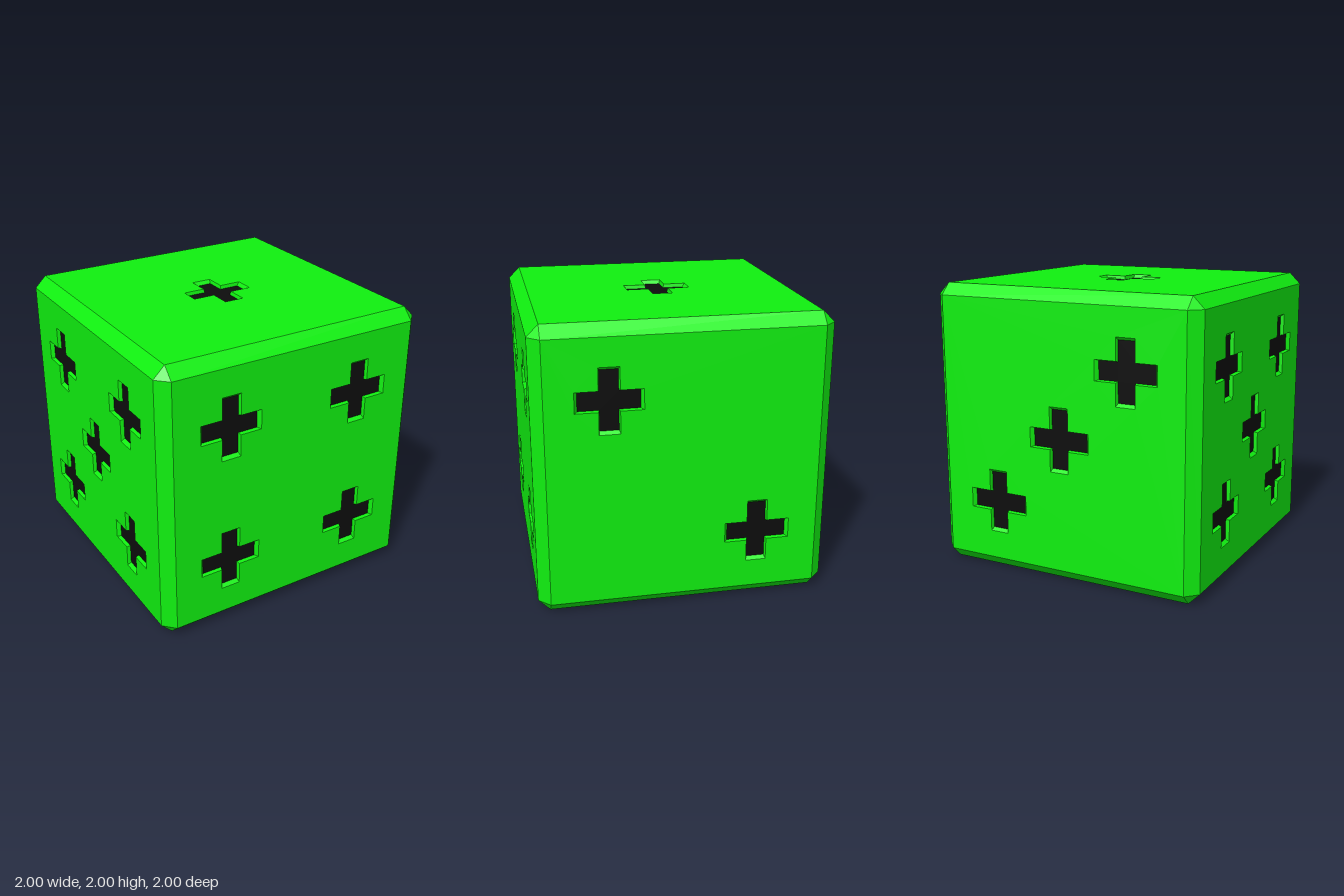
import * as THREE from 'three';

const FLAT = 0.92;   // half size of each flat face; the rest is chamfer
const DEPTH = 0.025; // depth of the pips
const TAPER = 0.91;  // pip floor size relative to its rim
const ARM = 0.225, HALF = 0.07;

const green = new THREE.MeshStandardMaterial({ color: 0x10f010, flatShading: true });
const black = new THREE.MeshStandardMaterial({ color: 0x0d0d0d, flatShading: true });

// Counter-clockwise plus outline around (cx, cy)
function plusOutline(cx, cy, scale = 1) {
  const a = ARM * scale, h = HALF * scale;
  return [[h, -a], [h, -h], [a, -h], [a, h], [h, h], [h, a],
    [-h, a], [-h, h], [-a, h], [-a, -h], [-h, -h], [-h, -a]]
    .map(([x, y]) => new THREE.Vector2(cx + x, cy + y));
}

// Flat polygons (3 or 4 corners each) as one geometry
function polygons(list) {
  const points = [];
  for (const p of list) {
    for (let i = 1; i < p.length - 1; i++) points.push(p[0], p[i], p[i + 1]);
  }
  const geometry = new THREE.BufferGeometry().setFromPoints(points);
  geometry.computeVertexNormals();
  return geometry;
}

function addMesh(parent, name, geometry, material) {
  const mesh = new THREE.Mesh(geometry, material);
  mesh.name = name;
  parent.add(mesh);
}

// One face pointing to +z, with tapered plus-shaped recesses
function createFace(name, pips) {
  const face = new THREE.Group();
  face.name = name;
  const panel = new THREE.Shape([[-1, -1], [1, -1], [1, 1], [-1, 1]]
    .map(([x, y]) => new THREE.Vector2(x * FLAT, y * FLAT)));
  const walls = [], floors = [];
  for (const [x, y] of pips) {
    const rim = plusOutline(x, y), floor = plusOutline(x, y, TAPER);
    panel.holes.push(new THREE.Path(rim));
    floors.push(new THREE.Shape(floor));
    const at = (p, z) => new THREE.Vector3(p.x, p.y, z);
    rim.forEach((p, i) => {
      const j = (i + 1) % rim.length;
      walls.push([at(p, 1), at(rim[j], 1), at(floor[j], 1 - DEPTH), at(floor[i], 1 - DEPTH)]);
    });
  }
  addMesh(face, 'panel', new THREE.ShapeGeometry(panel).translate(0, 0, 1), green);
  addMesh(face, 'pipWalls', polygons(walls), green);
  addMesh(face, 'pipFloors', new THREE.ShapeGeometry(floors).translate(0, 0, 1 - DEPTH), black);
  return face;
}

// Twelve edge strips and eight corner triangles
function chamferGeometry() {
  const list = [];
  const outward = (p) => {
    const n = p[1].clone().sub(p[0]).cross(p[2].clone().sub(p[0]));
    list.push(n.dot(p[0]) < 0 ? p.reverse() : p);
  };
  // Corner point lying on the face of the given axis
  const corner = (signs, axis) => new THREE.Vector3(
    ...signs.map((s, i) => s * (i === axis ? 1 : FLAT)));
  for (let axis = 0; axis < 3; axis++) {
    const u = (axis + 1) % 3, v = (axis + 2) % 3;
    for (const su of [-1, 1]) for (const sv of [-1, 1]) {
      const a = [], b = [];
      a[axis] = -1; b[axis] = 1;
      a[u] = b[u] = su;
      a[v] = b[v] = sv;
      outward([corner(a, u), corner(b, u), corner(b, v), corner(a, v)]);
    }
  }
  for (const x of [-1, 1]) for (const y of [-1, 1]) for (const z of [-1, 1]) {
    outward([0, 1, 2].map((axis) => corner([x, y, z], axis)));
  }
  return polygons(list);
}

export function createModel() {
  const die = new THREE.Group();
  die.name = 'die';
  const body = new THREE.Group();
  body.name = 'body';
  body.position.y = 1;
  die.add(body);

  const s = 0.5, q = Math.PI / 2;
  const corners = [[-s, -s], [s, -s], [s, s], [-s, s]];
  // name, rotation about x, rotation about y, pip centres
  const faces = [
    ['topFace', -q, 0, [[0, 0]]],
    ['rightSideFace', 0, q, [[-s, s], [s, -s]]],
    ['backFace', 0, 2 * q, [[-s, -s], [0, 0], [s, s]]],
    ['frontFace', 0, 0, corners],
    ['leftSideFace', 0, -q, [...corners, [0, 0]]],
    ['bottomFace', q, 0, [...corners, [-s, 0], [s, 0]]],
  ];
  for (const [name, rx, ry, pips] of faces) {
    const face = createFace(name, pips);
    face.rotation.set(rx, ry, 0);
    body.add(face);
  }
  addMesh(body, 'chamfers', chamferGeometry(), green);
  return die;
}
